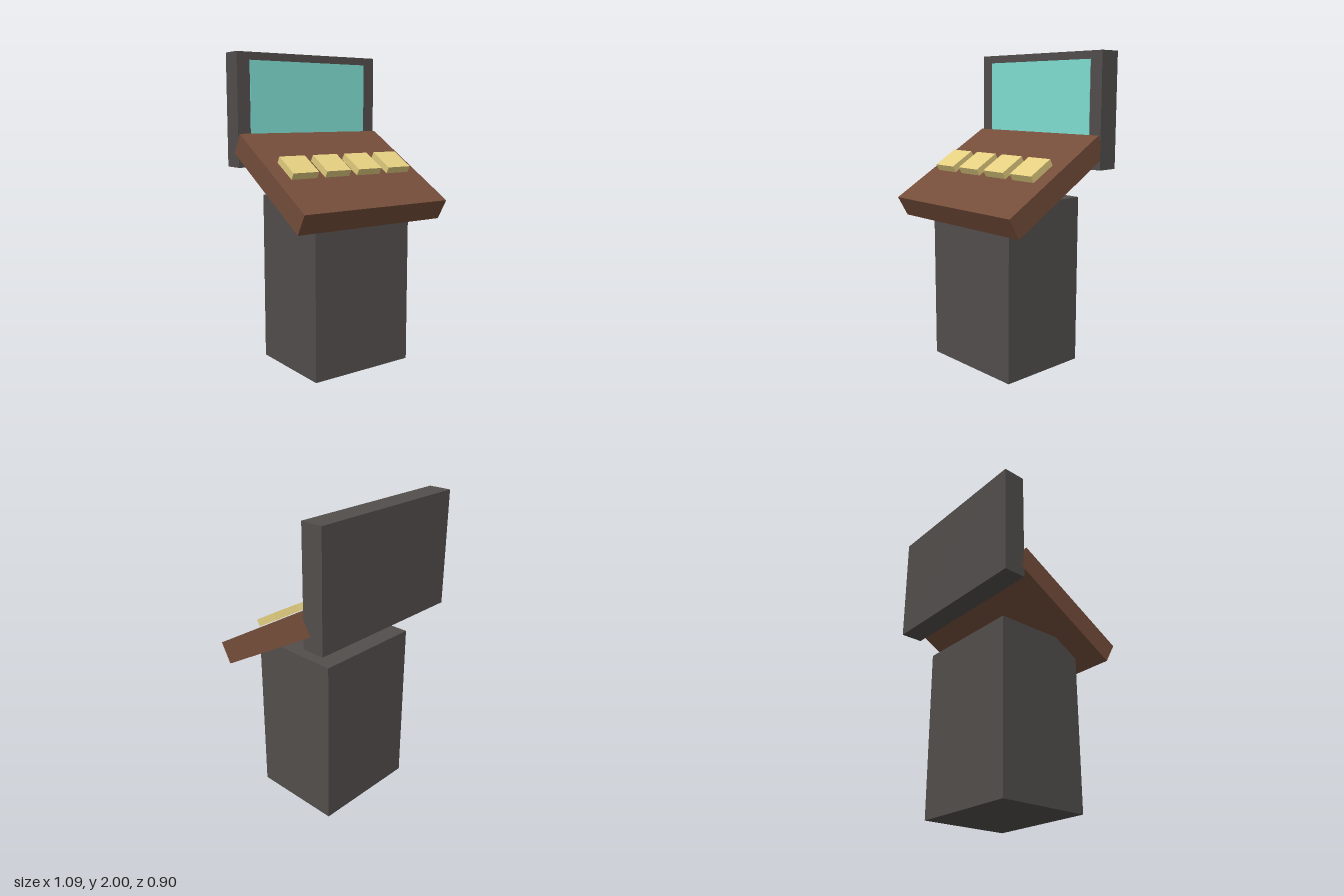
import * as THREE from 'three';

const material = (name, color) => {
  const m = new THREE.MeshStandardMaterial({ color });
  m.name = name;
  return m;
};

export function createModel() {
  const charcoal = material('charcoal', 0x524e4c);
  const brown = material('brown', 0x744d3a);
  const gold = material('gold', 0xe4cf80);
  const teal = material('teal', 0x80dfd4);

  const model = new THREE.Group();
  model.name = 'console';

  const box = (name, mat, size, position, parent = model) => {
    const mesh = new THREE.Mesh(new THREE.BoxGeometry(...size), mat);
    mesh.name = name;
    mesh.position.set(...position);
    parent.add(mesh);
    return mesh;
  };

  // Pedestal
  box('pedestal', charcoal, [0.724, 1.09, 0.604], [0, 0.545, -0.014]);

  // Upright display with a thin screen plate
  box('displayPanel', charcoal, [1.086, 0.725, 0.145], [0, 1.6375, -0.3775]);
  box('screen', teal, [0.906, 0.625, 0.006], [0, 1.6375, -0.304]);

  // Sloped desk, tilted towards the user; its children share the tilt
  const desk = new THREE.Group();
  desk.name = 'desk';
  desk.position.set(0, 1.215, 0.046);
  desk.rotation.x = Math.PI / 6;
  model.add(desk);
  box('deskTop', brown, [1.086, 0.145, 0.85], [0, 0, 0], desk);

  // Row of four buttons just above the desk surface
  for (let i = 0; i < 4; i++) {
    box('button', gold, [0.181, 0.045, 0.181], [(i - 1.5) * 0.2415, 0.103, 0.013], desk);
  }

  return model;
}
